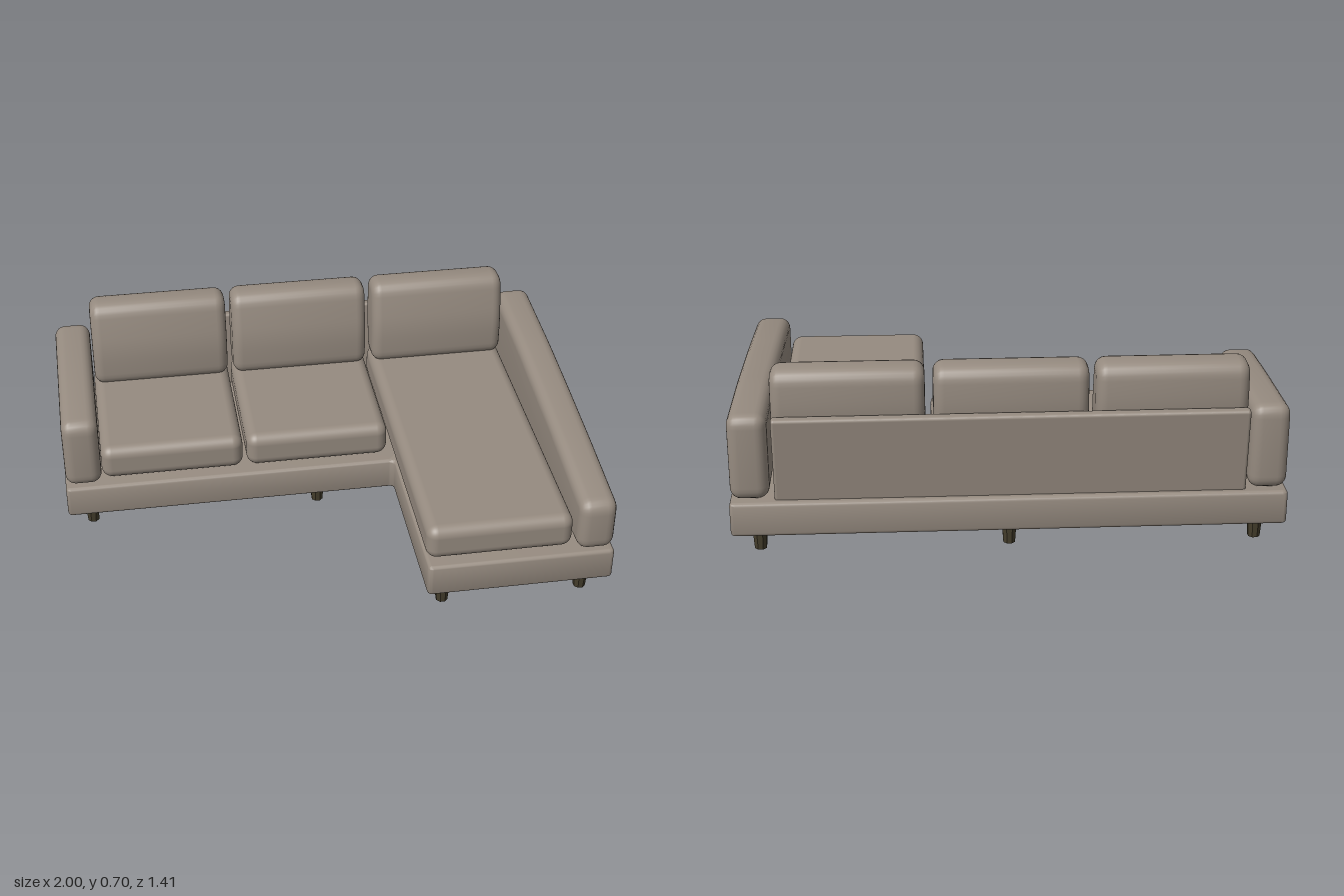
import * as THREE from 'three';
import { toCreasedNormals } from 'three/addons/utils/BufferGeometryUtils.js';
import { RoundedBoxGeometry } from 'three/addons/geometries/RoundedBoxGeometry.js';

const fabric = new THREE.MeshStandardMaterial({ color: 0x968b80 });
fabric.name = 'taupe fabric';
const wood = new THREE.MeshStandardMaterial({ color: 0x453e2c });
wood.name = 'dark wood';

// Closed outline with every corner softened by radius r
function softShape(points, r) {
  const pts = points.map(([a, b]) => new THREE.Vector2(a, b));
  const shape = new THREE.Shape();
  pts.forEach((p, i) => {
    const prev = pts[(i + pts.length - 1) % pts.length];
    const next = pts[(i + 1) % pts.length];
    const a = prev.clone().sub(p).setLength(r).add(p);
    const b = next.clone().sub(p).setLength(r).add(p);
    if (i === 0) shape.moveTo(a.x, a.y);
    else shape.lineTo(a.x, a.y);
    shape.quadraticCurveTo(p.x, p.y, b.x, b.y);
  });
  shape.closePath();
  return shape;
}

// Extrusion of total depth, with rounded rims that stay inside the outline
function softExtrude(points, depth, r, bevel) {
  return toCreasedNormals(new THREE.ExtrudeGeometry(softShape(points, r), {
    depth: depth - 2 * bevel, bevelEnabled: true, bevelSize: bevel,
    bevelThickness: bevel, bevelOffset: -bevel, bevelSegments: 5, curveSegments: 6,
  }).translate(0, 0, bevel), 0.7);
}

// Side profile in (z, y), stretched from x0 to x1
function sideProfile(points, x0, x1, r, bevel) {
  return softExtrude(points, x1 - x0, r, bevel).rotateY(-Math.PI / 2).translate(x1, 0, 0);
}

function softBox(x0, x1, y0, y1, z0, z1, r) {
  return new RoundedBoxGeometry(x1 - x0, y1 - y0, z1 - z0, 5, r)
    .translate((x0 + x1) / 2, (y0 + y1) / 2, (z0 + z1) / 2);
}

export function createModel() {
  const sofa = new THREE.Group();
  sofa.name = 'cornerSofa';
  const add = (name, geometry, material = fabric) => {
    const mesh = new THREE.Mesh(geometry, material);
    mesh.name = name;
    sofa.add(mesh);
    return mesh;
  };

  // L-shaped plinth, drawn in (x, -z)
  const plan = [[-1, -0.025], [0.295, -0.025], [0.295, -0.705], [1, -0.705], [1, 0.705], [-1, 0.705]];
  add('base', softExtrude(plan, 0.13, 0.02, 0.015).rotateX(-Math.PI / 2).translate(0, 0.095, 0));

  // Arms: both follow the same falling top line
  const armBack = [[-0.29, 0.535], [-0.693, 0.552], [-0.693, 0.228]];
  add('longArm', sideProfile(
    [[0.7, 0.228], [0.7, 0.438], [0.32, 0.482], [0, 0.512], ...armBack], 0.857, 0.997, 0.05, 0.04));
  add('shortArm', sideProfile(
    [[0.018, 0.228], [0.018, 0.515], ...armBack], -0.997, -0.857, 0.05, 0.04));

  // Leaning back panel
  const panel = add('backPanel', new RoundedBoxGeometry(1.69, 0.325, 0.04, 4, 0.012));
  panel.position.set(-0.005, 0.38, -0.671);
  panel.rotation.x = -0.09;

  // Seat cushions, the last one forming the chaise, each with a back cushion
  const cushionSide = [[-0.485, 0.355], [-0.485, 0.52], [-0.525, 0.708], [-0.66, 0.7], [-0.667, 0.54], [-0.635, 0.355]];
  const spans = [[-0.855, -0.3, -0.01], [-0.285, 0.275, -0.01], [0.295, 0.847, 0.67]];
  spans.forEach(([x0, x1, front], i) => {
    add(i === 2 ? 'chaiseCushion' : 'seatCushion', softBox(x0, x1, 0.228, 0.368, -0.64, front, 0.042));
    add('backCushion', sideProfile(cushionSide, x0 + 0.004, x1 - 0.004, 0.055, 0.04));
  });

  // Tapered legs
  const legGeometry = toCreasedNormals(
    new THREE.CylinderGeometry(0.03, 0.023, 0.1, 8).rotateY(Math.PI / 8), 0.5);
  const legSpots = [
    [-0.905, -0.595], [0, -0.595], [0.905, -0.595],
    [-0.905, -0.075], [0, -0.075], [0.905, -0.075],
    [0.37, 0.615], [0.905, 0.615],
  ];
  for (const [x, z] of legSpots) add('leg', legGeometry, wood).position.set(x, 0.05, z);

  return sofa;
}
